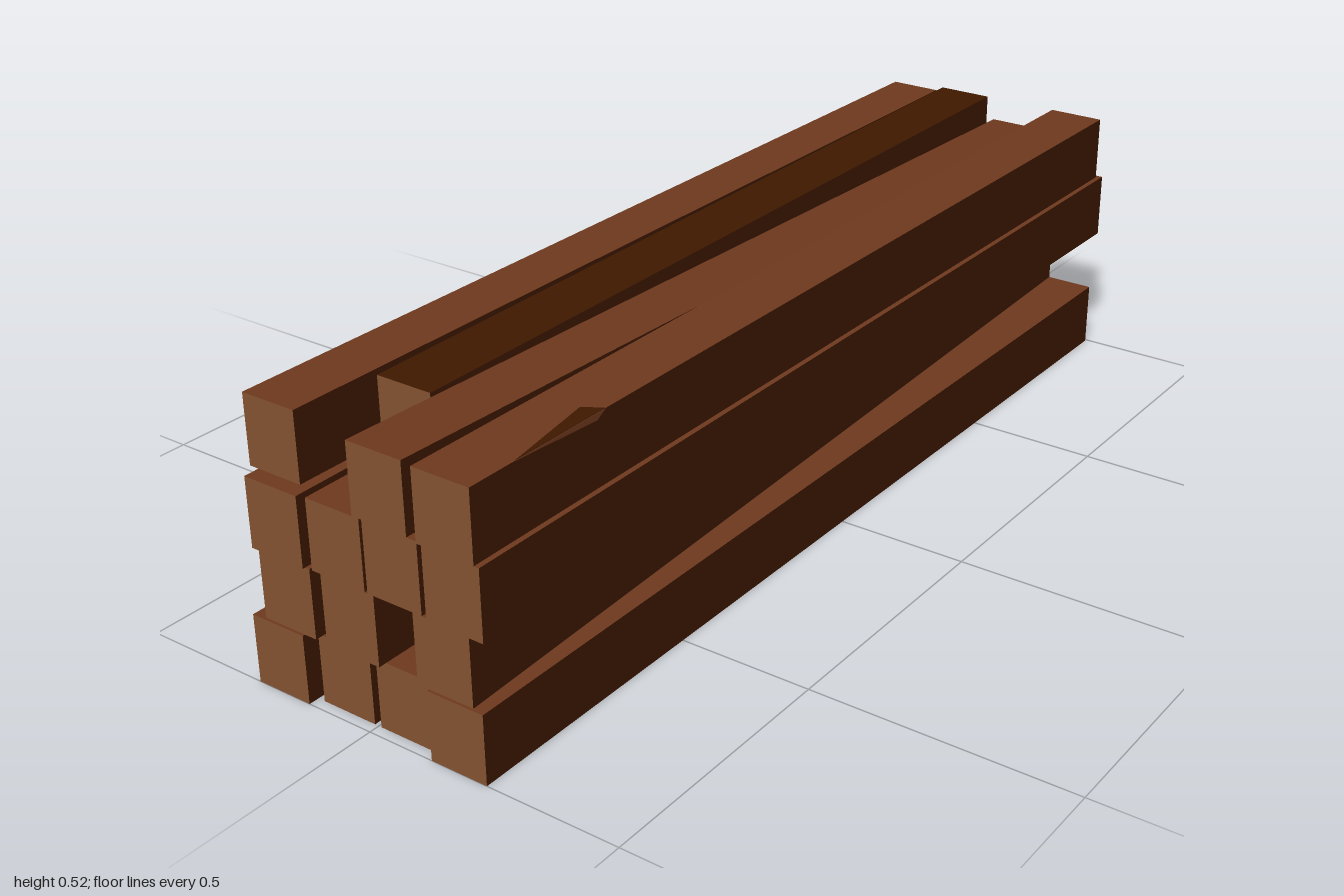
import * as THREE from 'three';

const material = (name, color) => {
  const m = new THREE.MeshStandardMaterial({ color });
  m.name = name;
  return m;
};
const endGrain = material('end grain', 0x855431);
const darkSide = material('dark side wood', 0x401900);
const topWood = material('reddish top wood', 0x6f391d);
const underside = material('blackened underside', 0x270606);

const ROW = 0.129;

// A beam whose two ends have their own z range and height, so it can skew and taper.
function beam(row, { x = [-0.995, 0.995], left, right, heights = [ROW, ROW], top = topWood }) {
  const geo = new THREE.BoxGeometry(1, 1, 1);
  const p = geo.attributes.position;
  for (let i = 0; i < p.count; i++) {
    const end = p.getX(i) > 0 ? 1 : 0;
    const range = end ? right : left;
    p.setXYZ(
      i,
      x[end],
      row * ROW + (p.getY(i) > 0 ? heights[end] : 0),
      p.getZ(i) > 0 ? range[0] : range[1]
    );
  }
  geo.computeVertexNormals();
  return new THREE.Mesh(geo, [endGrain, endGrain, top, underside, darkSide, darkSide]);
}

// Rows from the ground up; each beam lists [front z, back z] at its two ends.
const ROWS = [
  [
    { x: [-1, 0.995], left: [0.245, 0.132], right: [0.245, 0.132] },
    { x: [-0.98, 0.99], left: [0.118, 0.006], right: [0.118, 0.014] },
    { x: [-0.98, 0.99], left: [-0.008, -0.12], right: [-0.016, -0.113] },
    { x: [-1, 0.995], left: [-0.134, -0.247], right: [-0.134, -0.247] },
  ],
  [
    { left: [0.222, 0.109], right: [0.147, 0.033] },
    { left: [0.028, -0.085], right: [0.028, -0.085] },
    { left: [-0.109, -0.222], right: [-0.109, -0.222] },
  ],
  [
    { x: [-1, 0.995], left: [0.255, 0.142], right: [0.255, 0.142] },
    { left: [0.128, 0.016], right: [0.128, 0.016] },
    { left: [0.01, -0.103], right: [-0.007, -0.12] },
    { x: [-1, 1], left: [-0.118, -0.231], right: [-0.14, -0.253] },
  ],
  [
    { x: [-1, 0.985], left: [0.245, 0.132], right: [0.245, 0.132] },
    { x: [-0.995, 0.945], left: [0.108, -0.004], right: [0.127, 0.014], heights: [ROW, 0.096] },
    { x: [-0.805, 0.985], left: [-0.009, -0.122], right: [-0.025, -0.138], top: darkSide },
    { x: [-0.97, 0.96], left: [-0.139, -0.25], right: [-0.139, -0.244] },
  ],
];

// Thin triangular plate in the xy plane
function triangle(name, points, mat) {
  const shape = new THREE.Shape(points.map(([x, y]) => new THREE.Vector2(x, y)));
  const geo = new THREE.ExtrudeGeometry(shape, { depth: 0.002, bevelEnabled: false });
  const mesh = new THREE.Mesh(geo, mat);
  mesh.name = name;
  return mesh;
}

export function createModel() {
  const model = new THREE.Group();
  model.name = 'timberStack';
  ROWS.forEach((beams, r) => {
    const row = new THREE.Group();
    row.name = `beamRow${r + 1}`;
    beams.forEach((spec, i) => {
      const mesh = beam(r, spec);
      mesh.name = `beam${r + 1}_${i + 1}`;
      row.add(mesh);
    });
    model.add(row);
  });

  // Chipped patch on the front edge of the top beam
  const chipTop = triangle('edgeChipTop', [[-0.9, -0.245], [-0.69, -0.245], [-0.71, -0.212]], darkSide);
  chipTop.rotation.x = -Math.PI / 2;
  chipTop.position.y = 4 * ROW - 0.001;
  const chipFront = triangle('edgeChipFront', [[-0.9, 0.516], [-0.71, 0.504], [-0.69, 0.516]], topWood);
  chipFront.position.z = 0.244;
  model.add(chipTop, chipFront);
  return model;
}
